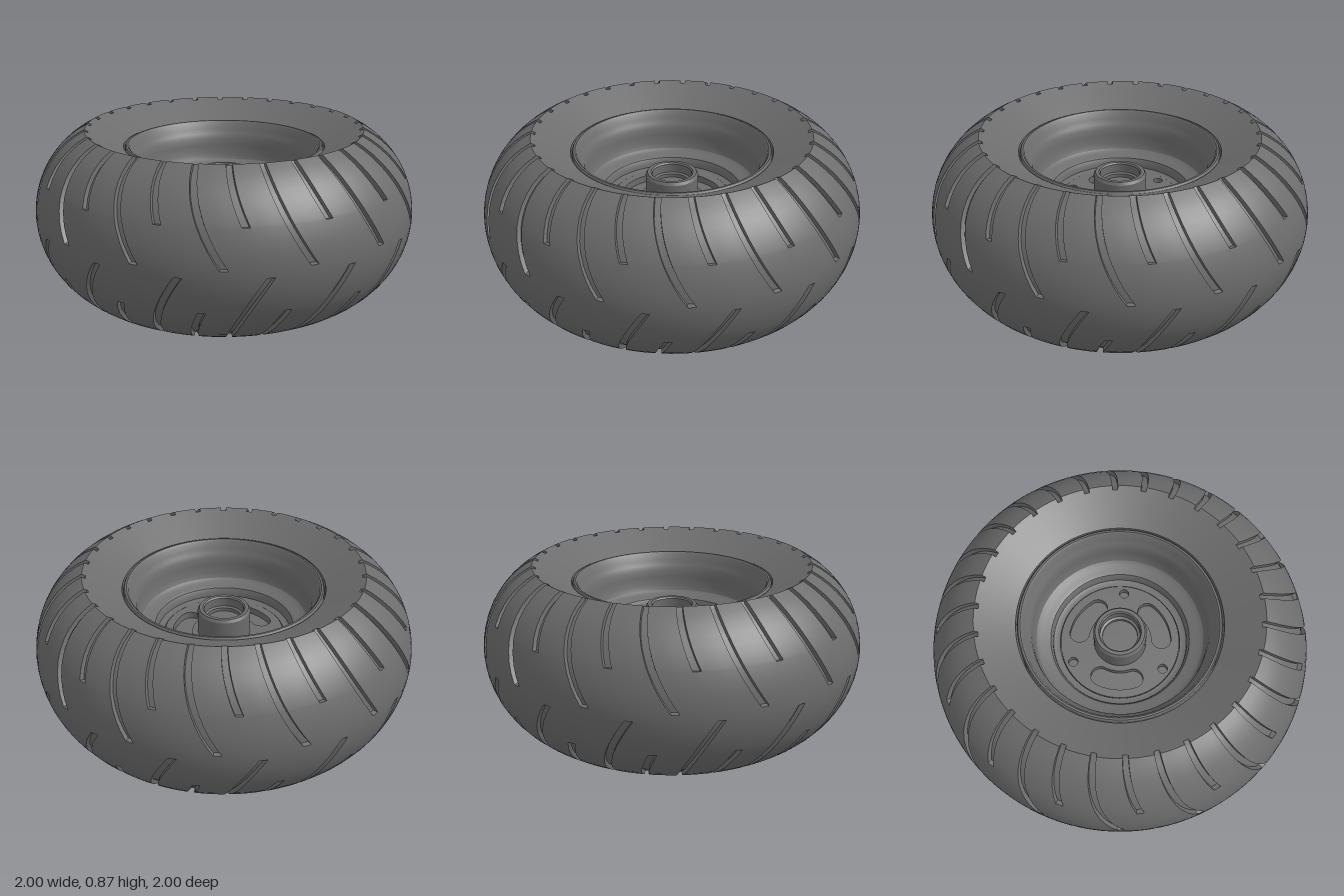
import * as THREE from 'three';
import { toCreasedNormals } from 'three/addons/utils/BufferGeometryUtils.js';

const RAD = Math.PI / 180;
const MID = 0.4325;          // half of the tyre width
const ARC_R = 0.481;         // radius of the tread's cross-section
const ARC_C = 0.519;         // its centre, measured from the axle
const ARC_A = Math.asin(MID / ARC_R);

const rubberGrey = new THREE.MeshStandardMaterial({ color: 0x6c6c6c });
rubberGrey.name = 'dark grey';

function add(group, name, geometry, crease = 30) {
  const mesh = new THREE.Mesh(toCreasedNormals(geometry, crease * RAD), rubberGrey);
  mesh.name = name;
  group.add(mesh);
  return mesh;
}

function lathe(profile, segments = 72) {
  return new THREE.LatheGeometry(profile.map(([r, y]) => new THREE.Vector2(r, y)), segments);
}

// Tyre: a sheared grid whose columns follow the curved tread grooves
function tyreGeometry() {
  // s runs from the shoulder (0) to the middle of the tread (1)
  const half = [0, 0.1, 0.2, 0.3, 0.4, 0.5, 0.57, 0.595, 0.605, 0.7, 0.8, 0.88, 0.955, 0.965];
  const rows = [{ r: 0.53, y: 0.097 }, { r: 0.71, y: 0.0095 }];
  const treadRow = (s, side) => rows.push({
    r: ARC_C + ARC_R * Math.cos(ARC_A * (1 - s)),
    y: MID + side * ARC_R * Math.sin(ARC_A * (1 - s)), s, side,
  });
  half.forEach((s) => treadRow(s, -1));
  treadRow(1, 1);
  [...half].reverse().forEach((s) => treadRow(s, 1));
  rows.push({ r: 0.71, y: 0.8555 }, { r: 0.53, y: 0.768 }, { r: 0.53, y: 0.097 });

  // Thirty grooves on each side, alternately long and short
  const columns = [];
  for (let k = 0; k < 30; k++) {
    for (const [offset, sunk] of [[-1.15, 0], [-1.05, 1], [1.05, 1], [1.15, 0], [3.8, 0], [6, 0], [8.2, 0]]) {
      columns.push({ u: k * 12 - 1.3 + offset, sunk, k });
    }
  }

  const positions = [], index = [], n = columns.length;
  rows.forEach(({ r, y, s, side }, i) => {
    columns.forEach(({ u, sunk, k }, j) => {
      const isLong = (k % 2 === 0) === (side > 0);
      const inGroove = sunk && s !== undefined && s < (isLong ? 0.96 : 0.6);
      const depth = inGroove ? 0.022 / ARC_R : 0;
      const pr = r - (r - ARC_C) * depth, py = y - (y - MID) * depth;
      const phi = (u + 11 * (s || 0) ** 2) * RAD;
      positions.push(pr * Math.sin(phi), py, pr * Math.cos(phi));
      if (i < rows.length - 1) {
        const a = i * n + j, b = i * n + (j + 1) % n;
        index.push(a, b, b + n, a, b + n, a + n);
      }
    });
  });
  const geometry = new THREE.BufferGeometry();
  geometry.setAttribute('position', new THREE.Float32BufferAttribute(positions, 3));
  geometry.setIndex(index);
  return geometry;
}

// Curved slot around the axle
function kidney(radius, halfWidth, halfAngle, angle) {
  const path = new THREE.Path();
  const a = angle - halfAngle, b = angle + halfAngle;
  path.absarc(0, 0, radius + halfWidth, a, b, false);
  path.absarc(radius * Math.cos(b), radius * Math.sin(b), halfWidth, b, b + Math.PI, false);
  path.absarc(0, 0, radius - halfWidth, b, a, true);
  path.absarc(radius * Math.cos(a), radius * Math.sin(a), halfWidth, a + Math.PI, a + 2 * Math.PI, false);
  return path;
}

// Straight slot set across the given direction
function straightSlot(radius, halfWidth, halfLength, angle) {
  const path = new THREE.Path();
  const c = Math.cos(angle), s = Math.sin(angle);
  path.absarc(radius * c - halfLength * s, radius * s + halfLength * c, halfWidth, angle, angle + Math.PI, false);
  path.absarc(radius * c + halfLength * s, radius * s - halfLength * c, halfWidth, angle + Math.PI, angle + 2 * Math.PI, false);
  return path;
}

// Flat disc with openings, lying between two heights
function plate(radius, holes, bottom, top) {
  const shape = new THREE.Shape().absarc(0, 0, radius, 0, 2 * Math.PI, false);
  shape.holes.push(...holes);
  const geometry = new THREE.ExtrudeGeometry(shape, { depth: top - bottom, bevelEnabled: false, curveSegments: 32 });
  return geometry.rotateX(-Math.PI / 2).translate(0, bottom, 0);
}

export function createModel() {
  const wheel = new THREE.Group();
  wheel.name = 'wheel';

  add(wheel, 'tyre', tyreGeometry(), 32);

  // Rim: closed section, from the outer wall over the lip to the dished centre
  add(wheel, 'rim', lathe([
    [0.523, 0.1], [0.523, 0.765], [0.517, 0.774], [0.507, 0.774], [0.498, 0.765],
    [0.488, 0.73], [0.472, 0.705], [0.46, 0.68], [0.455, 0.64], [0.452, 0.59],
    [0.44, 0.562], [0.42, 0.548], [0.385, 0.543], [0.368, 0.535], [0.357, 0.515], [0.355, 0.49],
    [0.342, 0.485], [0.32, 0.485], [0.32, 0.45], [0, 0.45],
    [0, 0.31], [0.355, 0.31], [0.36, 0.268], [0.39, 0.265], [0.42, 0.255], [0.445, 0.235],
    [0.455, 0.205], [0.46, 0.17], [0.475, 0.145], [0.49, 0.125], [0.498, 0.1],
    [0.507, 0.092], [0.517, 0.092], [0.523, 0.1],
  ]));

  // Openings repeat three times around the axle
  const topHoles = [], bottomHoles = [], triangle = [];
  for (let i = 0; i < 3; i++) {
    const slotAngle = (106 + 120 * i) * RAD, boltAngle = (46 + 120 * i) * RAD;
    topHoles.push(kidney(0.222, 0.052, 0.4, slotAngle));
    topHoles.push(new THREE.Path().absarc(0.275 * Math.cos(boltAngle), 0.275 * Math.sin(boltAngle), 0.025, 0, 2 * Math.PI, false));
    bottomHoles.push(straightSlot(0.22, 0.024, 0.12, slotAngle));
    triangle.push(new THREE.Vector2(0.3 * Math.cos(boltAngle), 0.3 * Math.sin(boltAngle)));
  }
  bottomHoles.push(new THREE.Path(triangle));
  add(wheel, 'upperPlate', plate(0.317, topHoles, 0.449, 0.487));
  add(wheel, 'lowerPlate', plate(0.357, bottomHoles, 0.265, 0.311));

  // Hub tube with a sunken cap
  add(wheel, 'hub', lathe([
    [0.14, 0.45], [0.14, 0.615], [0.13, 0.63], [0.112, 0.63], [0.105, 0.622],
    [0.105, 0.575], [0.092, 0.57], [0.092, 0.55], [0, 0.55],
  ], 48));

  return wheel;
}
